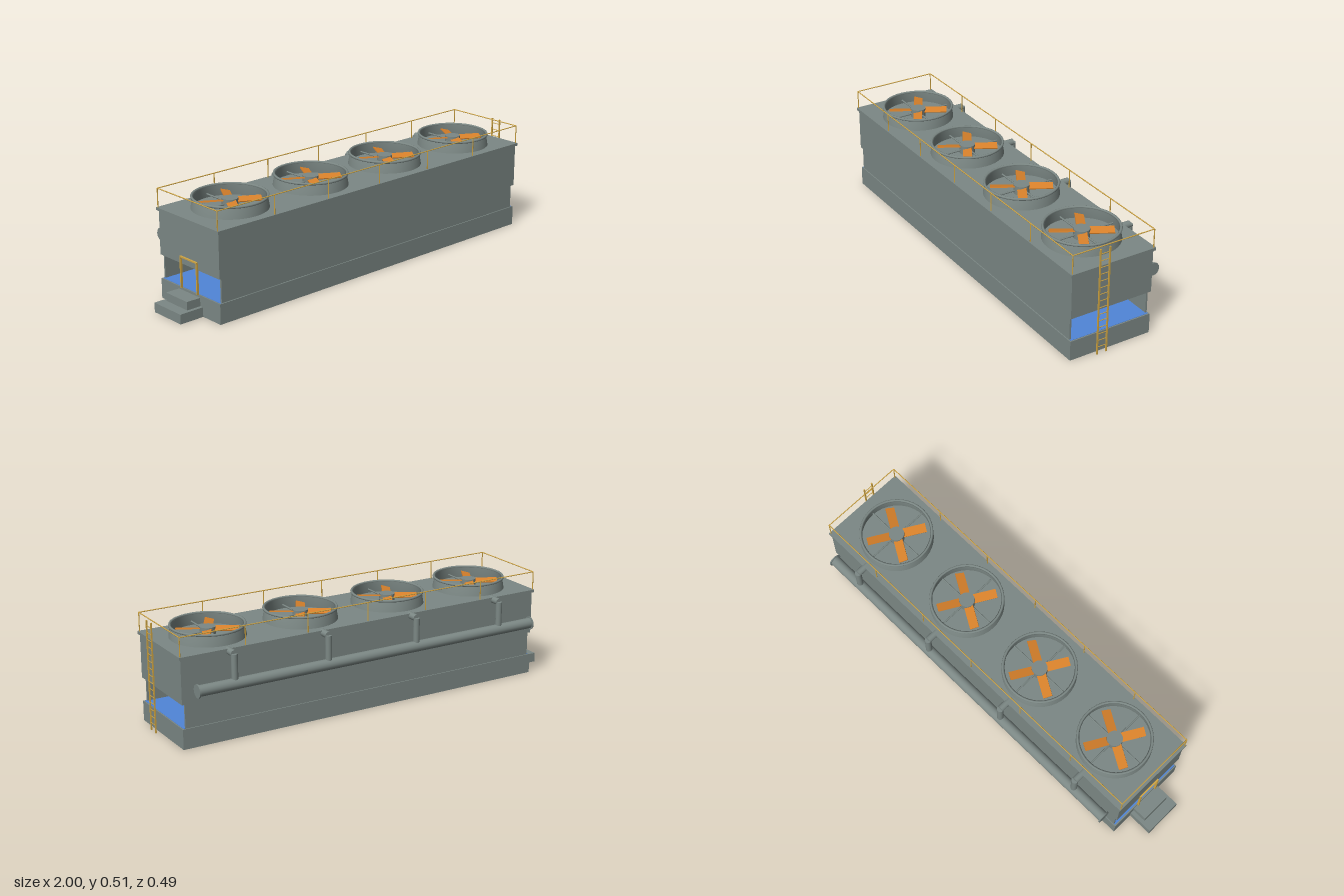
import * as THREE from 'three';

const mat = (name, color, side = THREE.FrontSide) =>
  Object.assign(new THREE.MeshStandardMaterial({ color, side }), { name });

export function createModel() {
  const grey = mat('casing grey', 0x7c8885);
  const yellow = mat('safety yellow', 0xcfa544);
  const orange = mat('fan orange', 0xd9822b);
  const blue = mat('water blue', 0x5085d8);

  const model = new THREE.Group();
  model.name = 'coolingTower';

  const add = (parent, name, geometry, material) => {
    const mesh = new THREE.Mesh(geometry, material);
    mesh.name = name;
    parent.add(mesh);
    return mesh;
  };
  const group = (name) => {
    const g = new THREE.Group();
    g.name = name;
    model.add(g);
    return g;
  };
  // Box given by its min and max on each axis
  const box = (parent, name, [x0, x1], [y0, y1], [z0, z1], material = grey) => {
    const m = add(parent, name, new THREE.BoxGeometry(x1 - x0, y1 - y0, z1 - z0), material);
    m.position.set((x0 + x1) / 2, (y0 + y1) / 2, (z0 + z1) / 2);
    return m;
  };
  // Round bar between two points
  const bar = (parent, name, a, b, r, material, sides = 8) => {
    const p = new THREE.Vector3(...a), q = new THREE.Vector3(...b);
    const m = add(parent, name, new THREE.CylinderGeometry(r, r, p.distanceTo(q), sides), material);
    m.position.copy(p).lerp(q, 0.5);
    m.quaternion.setFromUnitVectors(new THREE.Vector3(0, 1, 0), q.sub(p).normalize());
    return m;
  };

  const X = [-0.88, 0.975], Z = [-0.168, 0.24], zMid = 0.036;

  // Casing: basin, open-ended air inlet, upper body and roof deck
  box(model, 'basin', X, [0, 0.093], Z);
  box(model, 'water', [-0.874, 0.969], [0.091, 0.0945], [-0.162, 0.234], blue);
  box(model, 'frontInletWall', [-0.867, 0.96], [0.09, 0.206], [0.227, 0.235]);
  box(model, 'backInletWall', [-0.867, 0.96], [0.09, 0.206], [-0.163, -0.155]);
  box(model, 'upperBody', X, [0.204, 0.41], Z);
  box(model, 'roofDeck', [-0.888, 0.983], [0.407, 0.42], [-0.176, 0.248]);

  // Fans with flared shrouds
  const fanX = [-0.65, -0.185, 0.28, 0.745];
  const profile = [[0.171, 0], [0.162, 0.05], [0.157, 0.05], [0.164, 0]]
    .map(([r, y]) => new THREE.Vector2(r, y));
  fanX.forEach((x, i) => {
    const fan = group('fan' + (i + 1));
    fan.position.set(x, 0.42, zMid - 0.001);
    add(fan, 'shroud', new THREE.LatheGeometry(profile, 40), grey);
    const rim = add(fan, 'shroudRim', new THREE.TorusGeometry(0.165, 0.006, 8, 40), grey);
    rim.rotation.x = Math.PI / 2;
    rim.position.y = 0.052;
    bar(fan, 'hub', [0, 0, 0], [0, 0.042, 0], 0.036, grey, 20);
    bar(fan, 'supportX', [-0.16, 0.018, 0], [0.16, 0.018, 0], 0.004, grey);
    bar(fan, 'supportZ', [0, 0.018, -0.16], [0, 0.018, 0.16], 0.004, grey);
    for (let k = 0; k < 4; k++) {
      const arm = new THREE.Group();
      arm.name = 'bladeArm';
      arm.rotation.y = -Math.PI / 6 + k * Math.PI / 2;
      const blade = add(arm, 'blade', new THREE.BoxGeometry(0.108, 0.005, 0.042), orange);
      blade.position.set(0.085, 0.031, 0);
      blade.rotation.x = 0.25;
      fan.add(arm);
    }
  });

  // Header pipe along the back, with a riser to each fan cell
  const pipes = group('waterPipes');
  const py = 0.272, pz = -0.214;
  bar(pipes, 'headerPipe', [-0.835, py, pz], [0.925, py, pz], 0.025, grey, 20);
  for (const x of [-0.835, 0.922]) bar(pipes, 'endFlange', [x - 0.003, py, pz], [x + 0.003, py, pz], 0.031, grey, 16);
  for (const x of fanX) {
    bar(pipes, 'riser', [x, py, pz], [x, 0.407, pz], 0.015, grey, 16);
    bar(pipes, 'inletPipe', [x, 0.407, -0.155], [x, 0.407, pz], 0.016, grey, 16);
  }

  // Guard rail around the roof
  const railing = group('railing');
  const rx = [-0.884, 0.976], ry = 0.507, rr = 0.0025;
  for (const z of Z) {
    bar(railing, 'longRail', [rx[0], ry, z], [rx[1], ry, z], rr, yellow);
    for (let i = 0; i <= 6; i++) {
      const x = rx[0] + i * 0.31;
      bar(railing, 'railPost', [x, 0.42, z], [x, ry, z], rr, yellow);
    }
  }
  for (const x of rx) bar(railing, 'endRail', [x, ry, Z[0]], [x, ry, Z[1]], rr, yellow);

  // Ladder on the left end
  const ladder = group('ladder');
  for (const z of [0.07, 0.117]) box(ladder, 'ladderRail', [0.992, 0.998], [0, 0.508], [z - 0.003, z + 0.003], yellow);
  for (let i = 0; i < 15; i++) {
    const y = 0.035 + i * 0.0321;
    bar(ladder, 'rung', [0.995, y, 0.07], [0.995, y, 0.117], 0.0018, yellow);
  }

  // Door frame and entry steps on the right end
  const door = group('doorFrame');
  for (const z of [-0.019, 0.092]) box(door, 'doorPost', [-0.888, -0.878], [0.093, 0.24], [z - 0.003, z + 0.003], yellow);
  box(door, 'doorLintel', [-0.888, -0.878], [0.234, 0.24], [-0.022, 0.095], yellow);
  const steps = group('steps');
  box(steps, 'lowerStep', [-1, -0.88], [0, 0.044], [-0.06, 0.122]);
  box(steps, 'upperStep', [-0.95, -0.88], [0.04, 0.082], [-0.042, 0.104]);

  return model;
}
